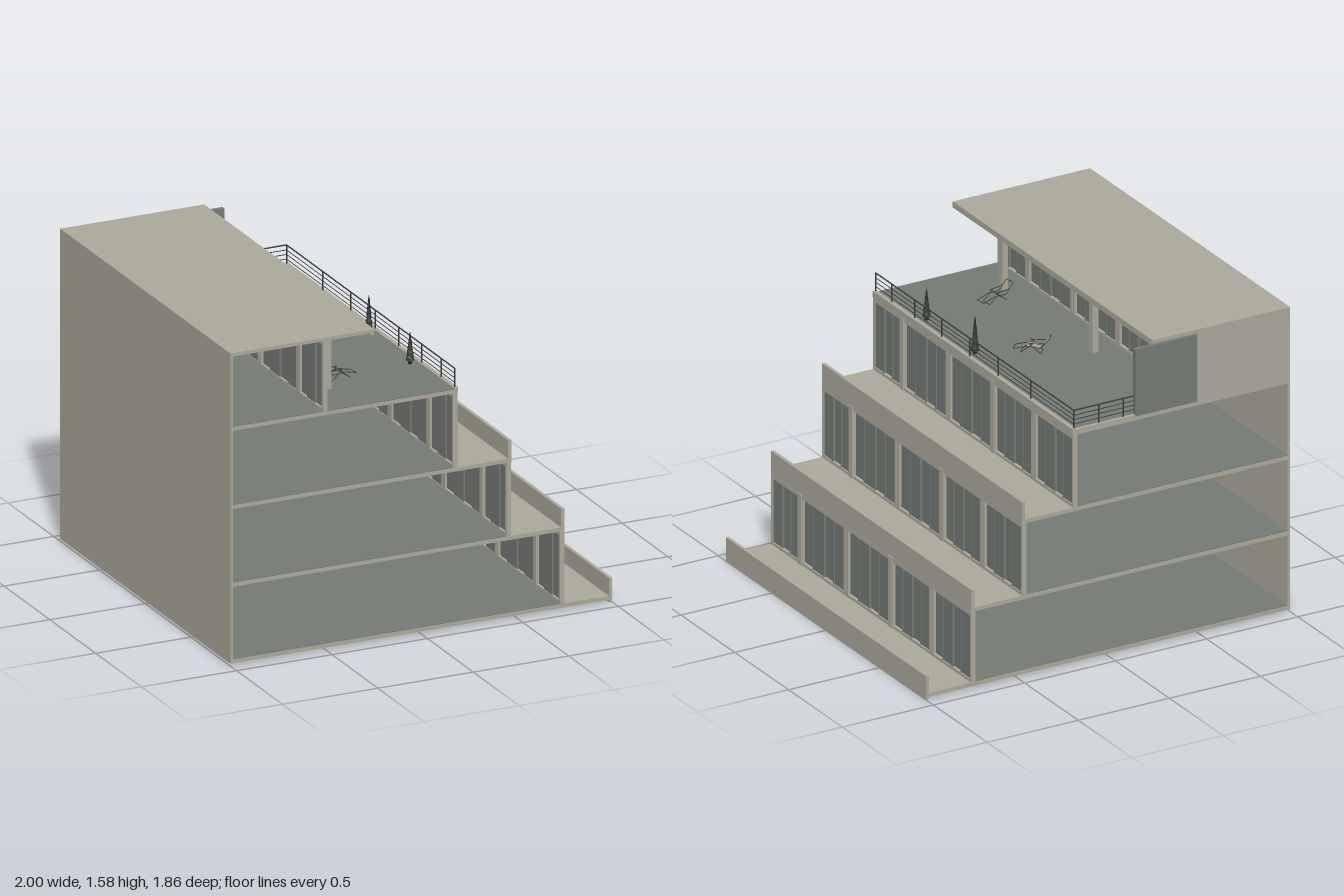
import * as THREE from 'three';

const mat = (name, color, side = THREE.FrontSide) => {
  const m = new THREE.MeshStandardMaterial({ color, side });
  m.name = name;
  return m;
};

export function createModel() {
  const concrete = mat('concrete', 0xaba89b);
  const grey = mat('grey glass and paving', 0x757a74);
  const metal = mat('dark metal', 0x3c3e3c);
  const leaf = mat('dark foliage', 0x2b302c);
  const fabric = mat('chair fabric', 0xa5a294, THREE.DoubleSide);

  const root = new THREE.Group();
  root.name = 'terracedBuilding';
  const group = (name, parent = root) => {
    const g = new THREE.Group();
    g.name = name;
    parent.add(g);
    return g;
  };
  // box given by its lower and upper corner
  const box = (name, parent, m, x0, x1, y0, y1, z0, z1) => {
    const mesh = new THREE.Mesh(new THREE.BoxGeometry(x1 - x0, y1 - y0, z1 - z0), m);
    mesh.position.set((x0 + x1) / 2, (y0 + y1) / 2, (z0 + z1) / 2);
    mesh.name = name;
    parent.add(mesh);
    return mesh;
  };
  // thin round bar between two points
  const bar = (name, parent, a, b, r = 0.0025) => {
    const p = new THREE.Vector3(...a), q = new THREE.Vector3(...b);
    const mesh = new THREE.Mesh(new THREE.CylinderGeometry(r, r, p.distanceTo(q), 6), metal);
    mesh.position.copy(p).lerp(q, 0.5);
    mesh.quaternion.setFromUnitVectors(new THREE.Vector3(0, 1, 0), q.sub(p).normalize());
    mesh.name = name;
    parent.add(mesh);
  };

  const D = 0.93;
  // window bays between the posts, as [z0, z1]
  const bays = [[-0.918, -0.58], [-0.54, -0.203], [-0.165, 0.215], [0.255, 0.638], [0.675, 0.915]];

  // window wall: frame, posts and staggered sliding panes
  const facade = (parent, x, y0, y1) => {
    const g = group('windowWall', parent);
    const h = 0.012;
    box('headBeam', g, concrete, x - h, x + h, y1 - 0.022, y1, -D, D);
    box('sill', g, concrete, x - h, x + h, y0, y0 + 0.015, -D, D);
    let last = -D;
    for (const [z0, z1] of [...bays, [D, D]]) {
      const split = Math.abs(last - 0.215) < 0.01 || Math.abs(last + 0.58) < 0.01;
      if (split) {
        const mid = (last + z0) / 2;
        box('framePost', g, concrete, x - h, x + h, y0, y1, last, mid - 0.002);
        box('framePost', g, concrete, x - h, x + h, y0, y1, mid + 0.002, z0);
        box('postJoint', g, grey, x - 0.008, x + 0.008, y0, y1, mid - 0.002, mid + 0.002);
      } else {
        box('framePost', g, concrete, x - h, x + h, y0, y1, last, z0);
      }
      last = z1;
      const n = Math.max(1, Math.round((z1 - z0) / 0.095));
      const w = (z1 - z0) / n;
      for (let i = 0; i < n && z1 > z0; i++) {
        const px = x + (i % 2 ? -0.006 : 0.003);
        const a = z0 + i * w;
        box('windowPane', g, grey, px - 0.003, px + 0.003, y0 + 0.015, y1 - 0.022, a, a + w);
        if (i) box('mullion', g, grey, x - 0.009, x + 0.01, y0 + 0.015, y1 - 0.022, a - 0.004, a + 0.004);
      }
    }
  };

  // storeys: slab bottom and top, slab end, window wall position, next slab bottom
  const storeys = [
    [0.012, 0.032, 1.0, 0.74, 0.398],
    [0.398, 0.418, 0.75, 0.46, 0.79],
    [0.79, 0.81, 0.472, 0.18, 1.185],
    [1.185, 1.204, 0.194, -0.503, 1.56],
  ];
  storeys.forEach(([y0, y1, end, wx, next], i) => {
    const s = group('storey' + (i + 1));
    box('floorSlab', s, concrete, -1, end, y0, y1, -D, D);
    box('backWall', s, concrete, -1, -0.985, y1, next, -D, D);
    const paveEnd = i === 3 ? 0.172 : wx - 0.012;
    box('flooring', s, grey, -0.985, paveEnd, y1, y1 + 0.003, -D + 0.003, D - 0.001);
    facade(s, wx, y1, next);
    if (i < 3) {
      const low = i ? y0 : 0;
      box('parapet', s, concrete, end - 0.016, end + (i ? 0.001 : 0), low, [0.122, 0.512, 0.903][i], -D, D);
      // main columns stand slightly proud of the window wall
      for (const z of [-0.184, 0.656])
        box('column', s, concrete, wx - 0.015, wx + 0.018, y1, next, z - 0.017, z + 0.017);
    }
  });

  // penthouse: roof, end walls and free columns
  const top = group('penthouse');
  box('roof', top, concrete, -1, -0.245, 1.56, 1.578, -D, D);
  box('roofFascia', top, concrete, -0.262, -0.245, 1.548, 1.562, -D + 0.025, D);
  box('endWall', top, concrete, -0.985, -0.49, 1.204, 1.56, -D, -D + 0.018);
  box('screenWall', top, grey, -0.49, -0.15, 1.204, 1.55, -D + 0.001, -D + 0.024);
  for (const z of [-0.184, 0.656])
    box('freeColumn', top, concrete, -0.378, -0.346, 1.204, 1.56, z - 0.017, z + 0.017);

  // terrace kerb and railing
  const rail = group('railing');
  box('kerb', rail, concrete, 0.172, 0.194, 1.2, 1.215, -D, D);
  box('sideKerb', rail, concrete, -0.15, 0.172, 1.2, 1.213, -D, -D + 0.016);
  const rx = 0.181, rz = -0.918;
  for (const y of [1.237, 1.26, 1.283, 1.308]) {
    const r = y > 1.3 ? 0.0035 : 0.002;
    bar('rail', rail, [rx, y, rz], [rx, y, 0.925], r);
    bar('sideRail', rail, [-0.15, y, rz], [rx, y, rz], r);
  }
  for (const z of [-0.918, -0.52, -0.215, 0.05, 0.31, 0.56, 0.775, 0.922])
    bar('railPost', rail, [rx, 1.21, z], [rx, 1.31, z], 0.0035);
  for (const x of [-0.09, 0.045]) bar('railPost', rail, [x, 1.21, rz], [x, 1.31, rz], 0.0035);

  // slender conifers made of stacked, twisted tiers
  const tree = (z, height) => {
    const g = group('conifer');
    g.position.set(0.134, 1.207, z);
    const pot = new THREE.Mesh(new THREE.CylinderGeometry(0.013, 0.01, 0.02, 8), leaf);
    pot.position.y = 0.01;
    pot.name = 'pot';
    g.add(pot);
    const tiers = 10;
    for (let i = 0; i < tiers; i++) {
      const t = i / tiers;
      const tier = new THREE.Mesh(new THREE.ConeGeometry(0.022 * (1 - t * 0.8), height * 0.19, 6), leaf);
      tier.position.y = 0.035 + t * (height - 0.045);
      tier.rotation.y = i * 0.6;
      tier.name = 'foliageTier';
      g.add(tier);
    }
  };
  tree(0.08, 0.205);
  tree(0.53, 0.17);

  // reclining deck chair, built along its own x axis with the head at -x
  const deckChair = (x, z, turn, covered) => {
    const g = group('deckChair');
    g.position.set(x, 1.207, z);
    g.rotation.y = turn;
    const path = [[-0.09, 0.08], [-0.045, 0.03], [0.02, 0.035], [0.085, 0.018]];
    for (const w of [-0.026, 0.026]) {
      for (let i = 0; i < 3; i++) bar('chairFrame', g, [...path[i], w], [...path[i + 1], w], 0.002);
      bar('chairLeg', g, [-0.05, 0.001, w], [0.01, 0.05, w], 0.002);
      bar('chairLeg', g, [0.05, 0.001, w], [-0.01, 0.05, w], 0.002);
      bar('armRest', g, [-0.065, 0.053, w], [0.01, 0.05, w], 0.002);
    }
    for (const p of [path[0], path[3], [-0.05, 0.002], [0.05, 0.002]])
      bar('crossBar', g, [...p, -0.026], [...p, 0.026], 0.002);
    if (!covered) return;
    for (let i = 0; i < 2; i++) {
      const [a, b] = [path[i], path[i + 1]];
      const dx = b[0] - a[0], dy = b[1] - a[1];
      const cloth = new THREE.Mesh(new THREE.BoxGeometry(Math.hypot(dx, dy), 0.003, 0.048), fabric);
      cloth.position.set((a[0] + b[0]) / 2, (a[1] + b[1]) / 2, 0);
      cloth.rotation.z = Math.atan2(dy, dx);
      cloth.name = 'chairCloth';
      g.add(cloth);
    }
  };
  deckChair(-0.11, -0.035, -0.72, true);
  deckChair(-0.255, 0.555, 0.12, false);

  return root;
}
